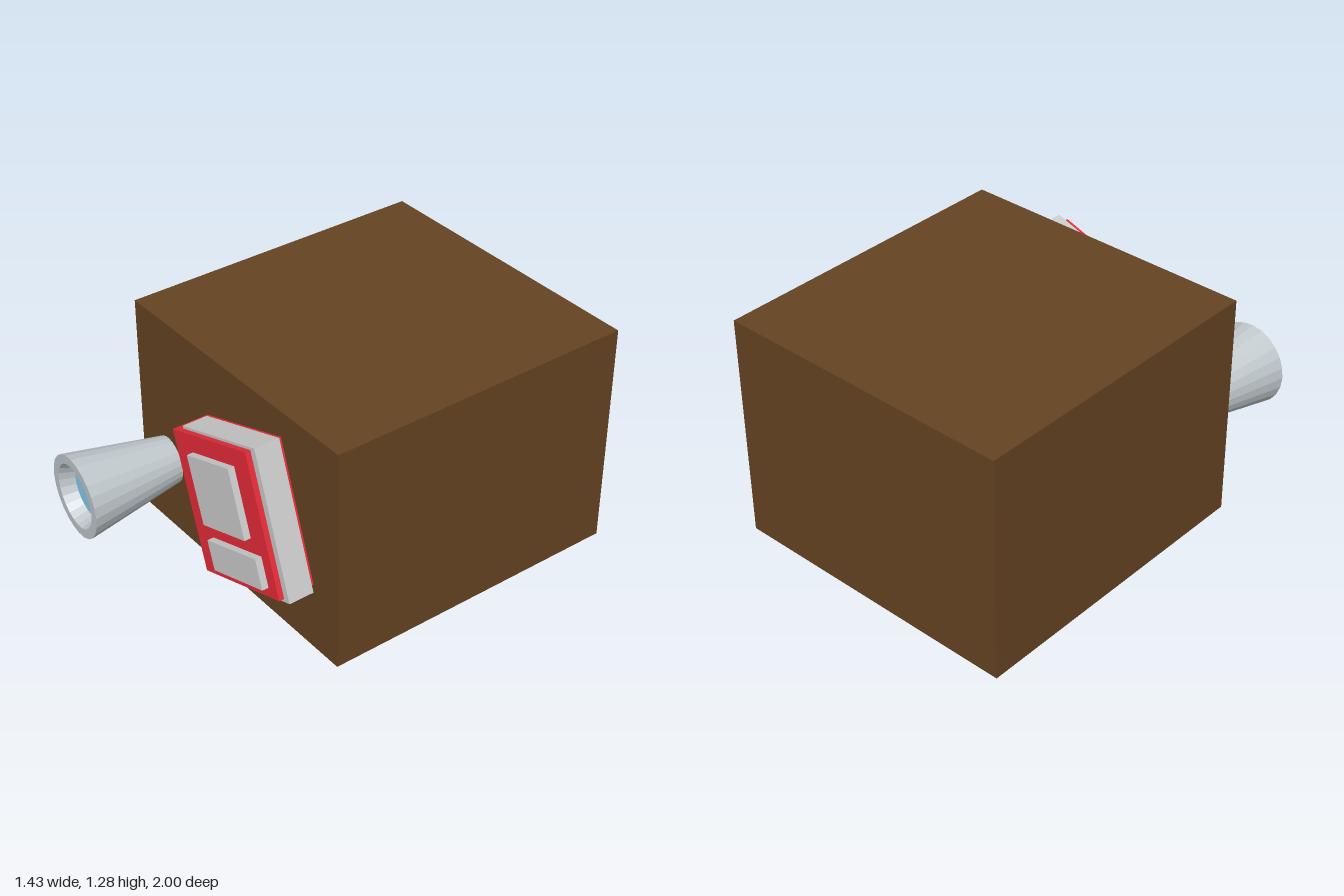
import * as THREE from 'three';

const material = (color) => new THREE.MeshStandardMaterial({ color });
const grey = material(0xcccccc);
const brown = material(0x654321);
const red = material(0xe62b39);
const black = material(0x2a2d30);
const steel = material(0xc0c8cc);
steel.flatShading = true;
const glass = material(0x87ceeb);

function add(parent, name, geometry, mat, x, y, z) {
  const mesh = new THREE.Mesh(geometry, mat);
  mesh.name = name;
  mesh.position.set(x, y, z);
  parent.add(mesh);
  return mesh;
}

export function createModel() {
  const model = new THREE.Group();
  model.name = 'cabinet';

  // Large body block
  add(model, 'body', new THREE.BoxGeometry(1.428, 1.075, 1.475), brown, 0, 0.7475, -0.2625);

  // Three slats below, each with a flattened round foot
  const supports = [
    { x: -0.003, width: 1.17, bottom: 0.13, z: 0.16, footX: -0.021, footY: 0.065 },
    { x: 0.01, width: 1.2, bottom: 0.149, z: -0.285, footX: 0.013, footY: 0.1, footZ: -0.267 },
    { x: 0.007, width: 1.2, bottom: 0.165, z: -0.745, footX: -0.01, footY: 0.114, footZ: -0.728 },
  ];
  for (const s of supports) {
    const height = 0.22 - s.bottom;
    add(model, 'slat', new THREE.BoxGeometry(s.width, height, 0.315), grey, s.x, s.bottom + height / 2, s.z);
    const foot = add(model, 'foot', new THREE.SphereGeometry(1, 32, 20), black, s.footX, s.footY, s.footZ ?? s.z);
    foot.scale.set(0.141, 0.064, 0.079);
  }

  // Tilted control panel: red block, grey shell and two raised plates
  const panel = new THREE.Group();
  panel.name = 'controlPanel';
  model.add(panel);
  const panelParts = [
    ['panelBlock', red, 0.553, 0.65, 0.173, 0.21, 0.786, 0.5785],
    ['panelShell', grey, 0.542, 0.678, 0.12, 0.247, 0.797, 0.58],
    ['upperPlate', grey, 0.314, 0.315, 0.05, 0.189, 0.87, 0.671],
    ['lowerPlate', grey, 0.364, 0.139, 0.05, 0.31, 0.598, 0.671],
  ];
  for (const [name, mat, w, h, d, x, y, z] of panelParts) {
    add(panel, name, new THREE.BoxGeometry(w, h, d), mat, x, y, z).rotation.z = 0.33;
  }

  // Tapered lamp, slightly tilted, with a recessed lens
  const lamp = new THREE.Group();
  lamp.name = 'lamp';
  lamp.position.set(-0.435, 0.625, 0.513);
  lamp.rotation.set(0.02, -0.057, 0);
  lamp.scale.y = 1.035;
  model.add(lamp);
  const profile = [[0, 0], [0.107, 0], [0.19, 0.473], [0.147, 0.473], [0.119, 0.4], [0, 0.4]]
    .map(([r, h]) => new THREE.Vector2(r, h));
  add(lamp, 'lampShade', new THREE.LatheGeometry(profile, 24).rotateX(Math.PI / 2), steel, 0, 0, 0);
  add(lamp, 'lens', new THREE.CircleGeometry(0.121, 32), glass, -0.004, -0.003, 0.406);

  return model;
}
